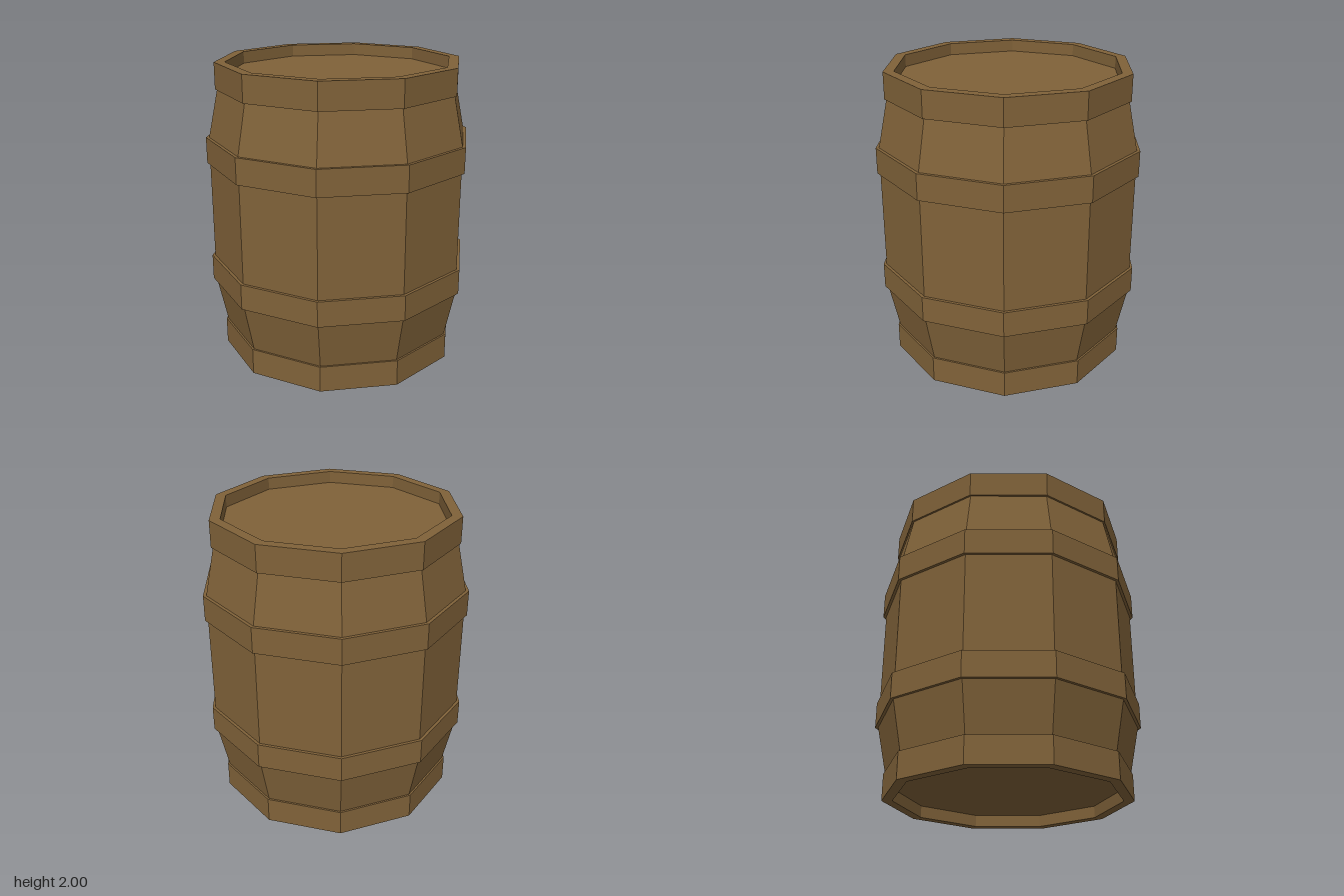
import * as THREE from 'three';

const SIDES = 10;
const wood = new THREE.MeshStandardMaterial({ color: 0x806239, flatShading: true });

// Ten-sided turned part with a corner on the x axis; profile is [radius, y], running up the outside
function turned(name, profile) {
  const points = profile.map(([r, y]) => new THREE.Vector2(r, y));
  const mesh = new THREE.Mesh(new THREE.LatheGeometry(points, SIDES, Math.PI / 2), wood);
  mesh.name = name;
  return mesh;
}

// Closed band with a rectangular section
function hoop(name, inner, outer, y0, y1) {
  return turned(name, [[inner, y0], [outer, y0], [outer, y1], [inner, y1], [inner, y0]]);
}

export function createModel() {
  const barrel = new THREE.Group();
  barrel.name = 'barrel';

  // Staves and the two sunken heads
  barrel.add(turned('body', [
    [0, 0.08], [0.782, 0.08], [0.87, 0.5], [0.87, 1.5], [0.782, 1.92], [0, 1.92],
  ]));

  // Rims standing proud of the heads
  barrel.add(hoop('bottomRim', 0.745, 0.815, 0, 0.177));
  barrel.add(hoop('topRim', 0.745, 0.815, 1.825, 2));

  // Hoops around the belly
  barrel.add(hoop('lowerHoop', 0.85, 0.89, 0.498, 0.67));
  barrel.add(hoop('upperHoop', 0.85, 0.89, 1.335, 1.508));

  return barrel;
}
